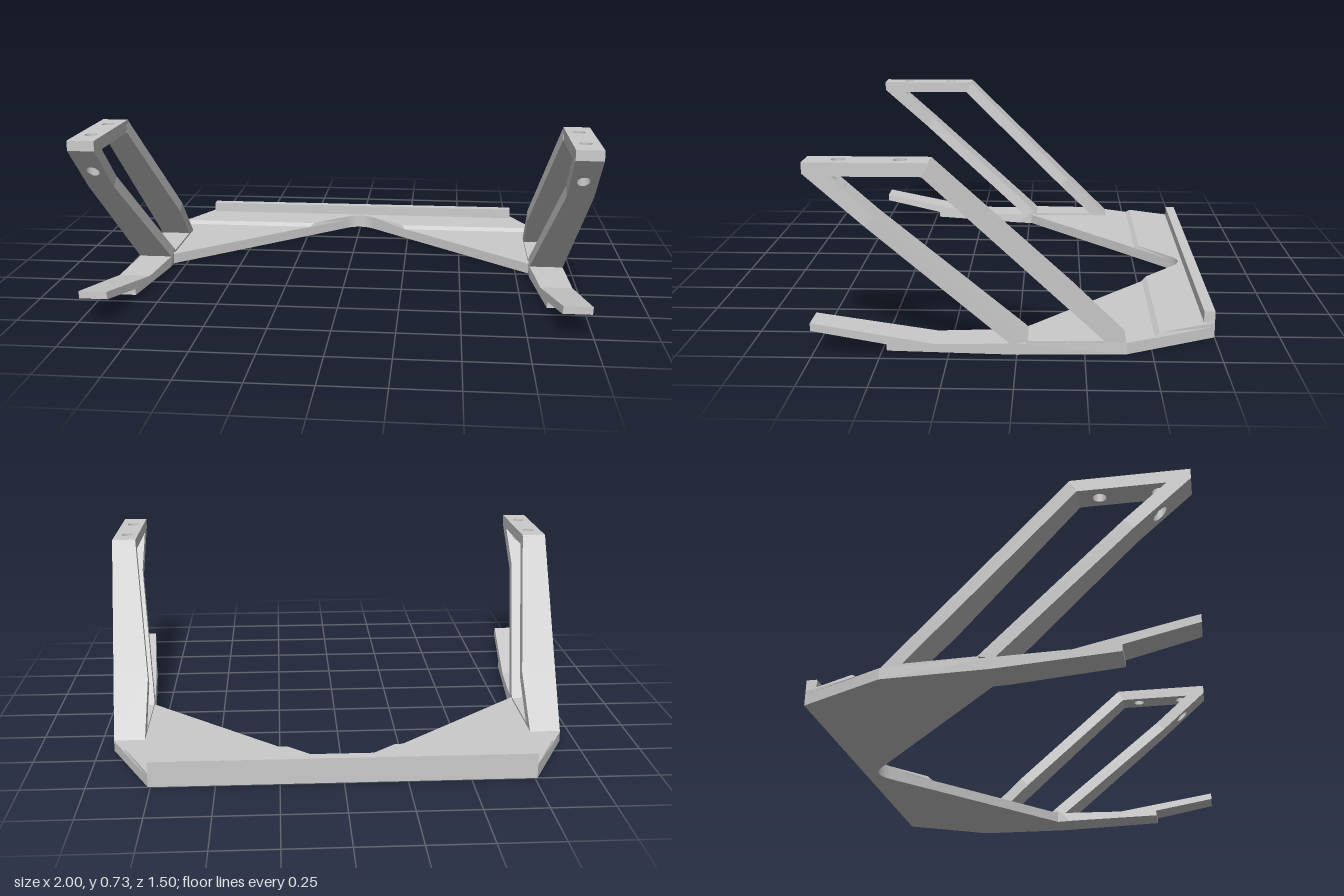
import * as THREE from 'three';

const material = new THREE.MeshStandardMaterial({ color: 0xcccccc });
const lerp = THREE.MathUtils.lerp;
const ramp = (s, a, b) => THREE.MathUtils.clamp((s - a) / (b - a), 0, 1);

// Arms splay outward along s, the direction in which the legs lean
const S0 = 0.05, S1 = 1.06;
const along = (z, y) => z + 1.05 * y;
const innerX = s => lerp(0.808, 0.895, ramp(s, S0, S1));
const outerX = s => lerp(0.935, 1, ramp(s, -0.35, S1));

// Move every vertex by a rule, then recompute flat normals
function reshape(geometry, rule) {
  const p = geometry.attributes.position;
  for (let i = 0; i < p.count; i++) p.setXYZ(i, ...rule(p.getX(i), p.getY(i), p.getZ(i)));
  geometry.computeVertexNormals();
  return geometry;
}

function part(group, name, geometry) {
  const mesh = new THREE.Mesh(geometry, material);
  mesh.name = name;
  group.add(mesh);
  return mesh;
}

// Keep the part of a convex [z, y] polygon where sign * (s - limit) >= 0
function clip(poly, limit, sign) {
  const out = [];
  poly.forEach((a, i) => {
    const b = poly[(i + 1) % poly.length];
    const da = sign * (along(...a) - limit), db = sign * (along(...b) - limit);
    if (da >= 0) out.push(a);
    if (da * db < 0) {
      const t = da / (da - db);
      out.push([lerp(a[0], b[0], t), lerp(a[1], b[1], t)]);
    }
  });
  return out;
}

// Side profile spanning the splayed arm width, split where the splay bends
function profileBar(group, name, side, poly) {
  const zones = [
    clip(poly, S0, -1),
    clip(clip(poly, S0, 1), S1, -1),
    clip(poly, S1, 1),
  ];
  for (const zone of zones) {
    if (zone.length < 3) continue;
    const shape = new THREE.Shape(zone.map(q => new THREE.Vector2(...q)));
    const geometry = new THREE.ExtrudeGeometry(shape, { depth: 1, bevelEnabled: false });
    part(group, name, reshape(geometry, (z, y, c) => {
      const s = along(z, y);
      const outer = (c < 0.5) === (side > 0);
      return [side * (outer ? outerX(s) : innerX(s)), y, z];
    }));
  }
}

// Plan shape drawn in (x, -z), extruded one unit up
function planGeometry(shape) {
  return new THREE.ExtrudeGeometry(shape, { depth: 1, bevelEnabled: false, curveSegments: 12 })
    .rotateX(-Math.PI / 2);
}

// Block with vertical screw holes; its rear end is slanted from zBottom to zTop
function drilledBlock(group, name, side, zBottom, zTop, zFront, holes, bottom, top) {
  const zRear = (zBottom + zTop) / 2;
  const shape = new THREE.Shape(
    [[0.895, zRear], [1, zRear], [1, zFront], [0.895, zFront]]
      .map(([x, z]) => new THREE.Vector2(side * x, -z)));
  for (const z of holes) {
    shape.holes.push(new THREE.Path().absarc(side * 0.945, -z, 0.025, 0, Math.PI * 2));
  }
  part(group, name, reshape(planGeometry(shape), (x, h, z) => {
    const upper = h > 0.5;
    if (Math.abs(z - zRear) < 1e-4) z = upper ? zTop : zBottom;
    return [x, upper ? top(z) : bottom(z), z];
  }));
}

// Symmetric plate with a rounded notch in its front edge
function notchedPlan(right) {
  const shape = new THREE.Shape();
  const left = [...right].reverse().map(([x, z]) => [-x, z]);
  shape.moveTo(right[0][0], -right[0][1]);
  right.slice(1).forEach(([x, z]) => shape.lineTo(x, -z));
  shape.quadraticCurveTo(0, 0.72, left[0][0], -left[0][1]);
  left.slice(1).forEach(([x, z]) => shape.lineTo(x, -z));
  return planGeometry(shape);
}

function createArm(side) {
  const arm = new THREE.Group();
  arm.name = side > 0 ? 'leftArm' : 'rightArm';

  // Base rail and rising foot
  profileBar(arm, 'baseRail', side, [[-0.405, 0], [0, 0], [0.3, 0.0126], [0.3, 0.045], [-0.405, 0.045]]);
  profileBar(arm, 'baseWeb', side, [[-0.33, 0.04], [-0.03, 0.04], [-0.04, 0.054], [-0.32, 0.054]]);
  profileBar(arm, 'footHeel', side, [[0.3, 0.0126], [0.475, 0.02], [0.475, 0.078], [0.3, 0.045]]);
  profileBar(arm, 'footTip', side, [[0.475, 0.045], [0.75, 0.1], [0.75, 0.13], [0.475, 0.078]]);

  // Leaning legs
  const under = z => 0.69 + 0.89 * (z - 0.75);
  const over = z => 0.68 + 0.893 * (z - 0.66);
  profileBar(arm, 'rearLeg', side, [[-0.405, 0.042], [-0.31, 0.042], [-0.32, 0.054], [0.33, 0.68], [0.305, 0.73]]);
  profileBar(arm, 'frontLeg', side,
    [[0.02, under(0.02)], [0.5357, under(0.5357)], [0.498, over(0.498)], [-0.042, over(-0.042)]]);
  drilledBlock(arm, 'frontLegTop', side, 0.5357, 0.498, 0.66, [0.63], under, over);

  // Mounting bar with screw holes, and its nose
  drilledBlock(arm, 'mountingBar', side, 0.33, 0.305, 0.66, [0.41, 0.63], () => 0.68, () => 0.73);
  profileBar(arm, 'mountingNose', side, [[0.66, under(0.66)], [0.75, 0.69], [0.75, 0.73], [0.66, 0.73]]);
  return arm;
}

export function createModel() {
  const model = new THREE.Group();
  model.name = 'bracketFrame';

  // Notched base plate
  const plate = notchedPlan([[0.76, -0.75], [0.935, -0.405], [0.81, -0.405], [0.81, -0.01], [0.07, -0.66]]);
  part(model, 'basePlate', reshape(plate, (x, h, z) => [x, h * 0.045, z]));

  // Raised rear step with a chamfered front edge
  const step = notchedPlan([[0.76, -0.75], [0.877, -0.52], [0.229, -0.52], [0.07, -0.66]]);
  part(model, 'rearStep', reshape(step, (x, h, z) => {
    const y = h > 0.5 ? 0.06 : 0.044;
    if (Math.abs(z + 0.52) > 1e-4) return [x, y, z];
    const d = h > 0.5 ? -1 : 1;
    return [x + Math.sign(x) * d * 0.008, y, z + d * 0.01];
  }));

  // Lip along the rear edge
  const lip = part(model, 'rearLip', new THREE.BoxGeometry(1.52, 0.055, 0.042));
  lip.position.set(0, 0.0775, -0.729);

  for (const side of [1, -1]) model.add(createArm(side));
  return model;
}
